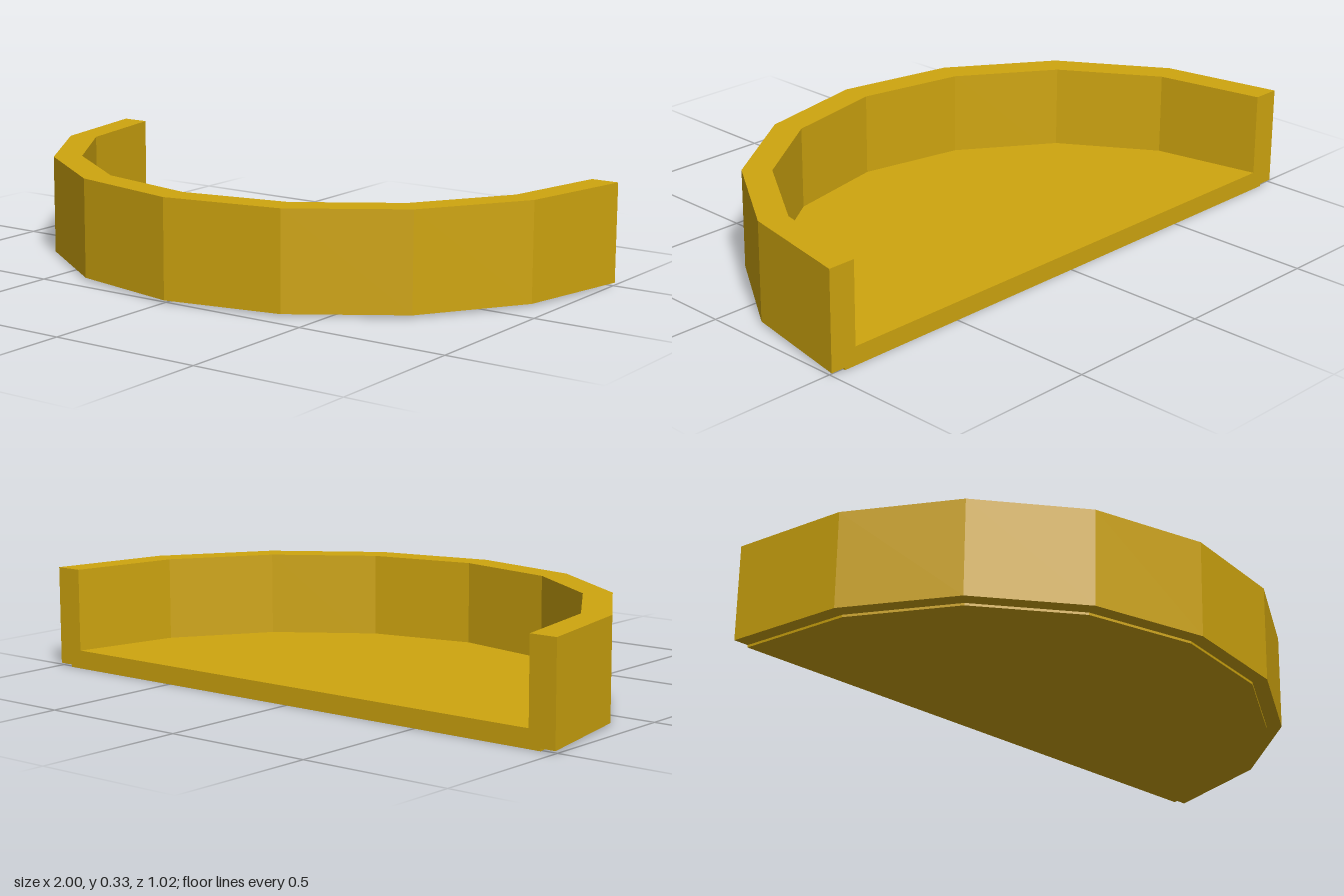
import * as THREE from 'three';

const BACK = -0.51;

// Points of a faceted half round, from the left end to the right end
function halfRound(rx, rz) {
  const points = [];
  for (let i = 0; i <= 8; i++) {
    const a = (i / 8) * Math.PI;
    points.push(new THREE.Vector2(rx * Math.cos(a), BACK + rz * Math.sin(a)));
  }
  return points;
}

// Extrude a plan outline (x, z) between two heights
function slab(name, points, bottom, top, material) {
  const geometry = new THREE.ExtrudeGeometry(new THREE.Shape(points), {
    depth: top - bottom, bevelEnabled: false,
  });
  geometry.rotateX(Math.PI / 2).translate(0, top, 0);
  const mesh = new THREE.Mesh(geometry, material);
  mesh.name = name;
  return mesh;
}

export function createModel() {
  const gold = new THREE.MeshStandardMaterial({ color: 0xcfa50f, flatShading: true });
  gold.name = 'gold';

  const outer = halfRound(1, 1.02);
  const inner = halfRound(0.908, 0.924);
  const foot = halfRound(0.95, 0.97);

  const group = new THREE.Group();
  group.name = 'halfRoundBalcony';
  group.add(
    // Curved wall, open at the back
    slab('wall', [...outer, ...inner.slice().reverse()], 0.008, 0.33, gold),
    // Floor inside the wall
    slab('floor', inner, 0.008, 0.06, gold),
    // Thin inset plate underneath
    slab('footPlate', foot, 0, 0.008, gold),
  );
  return group;
}
